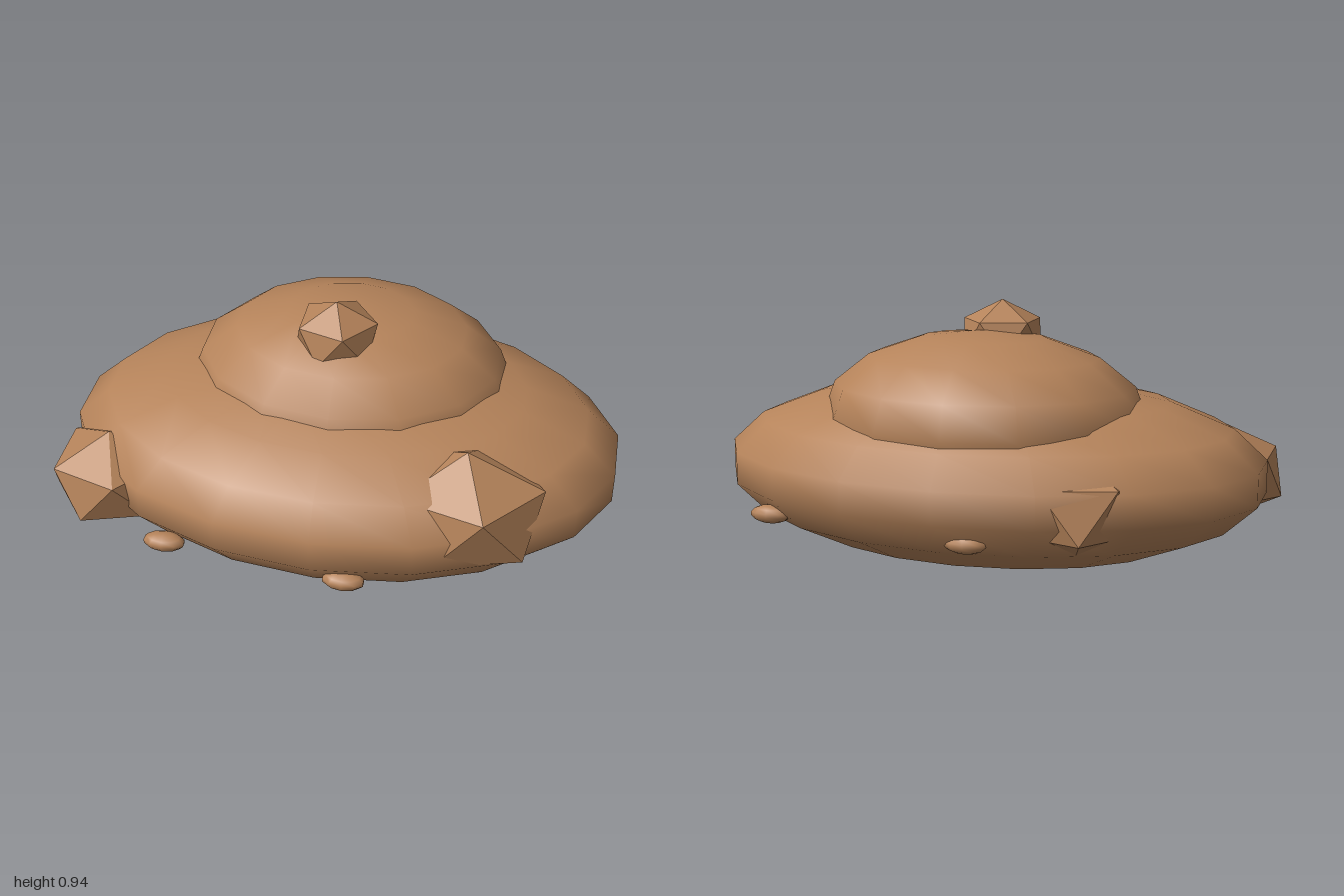
import * as THREE from 'three';
import { ConvexGeometry } from 'three/addons/geometries/ConvexGeometry.js';

const smooth = new THREE.MeshStandardMaterial({ color: 0xb5835a });
const faceted = new THREE.MeshStandardMaterial({ color: 0xb5835a, flatShading: true });

// Smooth ellipsoid with a vertex column facing the front
function ellipsoid(name, [x, y, z], [rx, ry, rz], around, rings) {
  const geo = new THREE.SphereGeometry(1, around, rings);
  geo.rotateY(Math.PI / 2);
  geo.scale(rx, ry, rz);
  const mesh = new THREE.Mesh(geo, smooth);
  mesh.name = name;
  mesh.position.set(x, y, z);
  return mesh;
}

// Twenty-sided rock standing on a corner: two poles and two staggered rings of five
function rock(name, [x, y, z], [rx, ry, rz]) {
  const points = [new THREE.Vector3(0, ry, 0), new THREE.Vector3(0, -ry, 0)];
  const h = 1 / Math.sqrt(5), r = 2 * h;
  for (let i = 0; i < 10; i++) {
    const a = (i * Math.PI) / 5;
    points.push(new THREE.Vector3(
      r * rx * Math.cos(a), (i % 2 ? -h : h) * ry, r * rz * Math.sin(a)));
  }
  const mesh = new THREE.Mesh(new ConvexGeometry(points), faceted);
  mesh.name = name;
  mesh.position.set(x, y, z);
  return mesh;
}

export function createModel() {
  const group = new THREE.Group();
  group.name = 'boulder';

  // Broad base stone and the smaller dome resting towards its back
  group.add(ellipsoid('baseStone', [0.015, 0.338, 0], [1.015, 0.336, 0.684], 18, 9));
  group.add(ellipsoid('upperDome', [0.015, 0.54, -0.106], [0.59, 0.31, 0.472], 14, 8));

  // Angular rocks on the top and sides
  group.add(rock('topRock', [-0.012, 0.813, 0.035], [0.162, 0.132, 0.155]));
  group.add(rock('frontLeftRock', [0.5, 0.39, 0.37], [0.302, 0.23, 0.262]));
  group.add(rock('frontRightRock', [-0.785, 0.3, 0.315], [0.24, 0.18, 0.232]));
  group.add(rock('backRightRock', [-0.4, 0.322, -0.408], [0.246, 0.197, 0.243]));

  // Small pebbles set into the lower sides
  const pebbles = [[-0.53, 0.215, 0.555], [0.125, 0.215, 0.632], [0.7, 0.21, -0.442], [-0.08, 0.21, -0.6]];
  for (const p of pebbles) group.add(ellipsoid('pebble', p, [0.076, 0.033, 0.042], 10, 7));

  return group;
}
